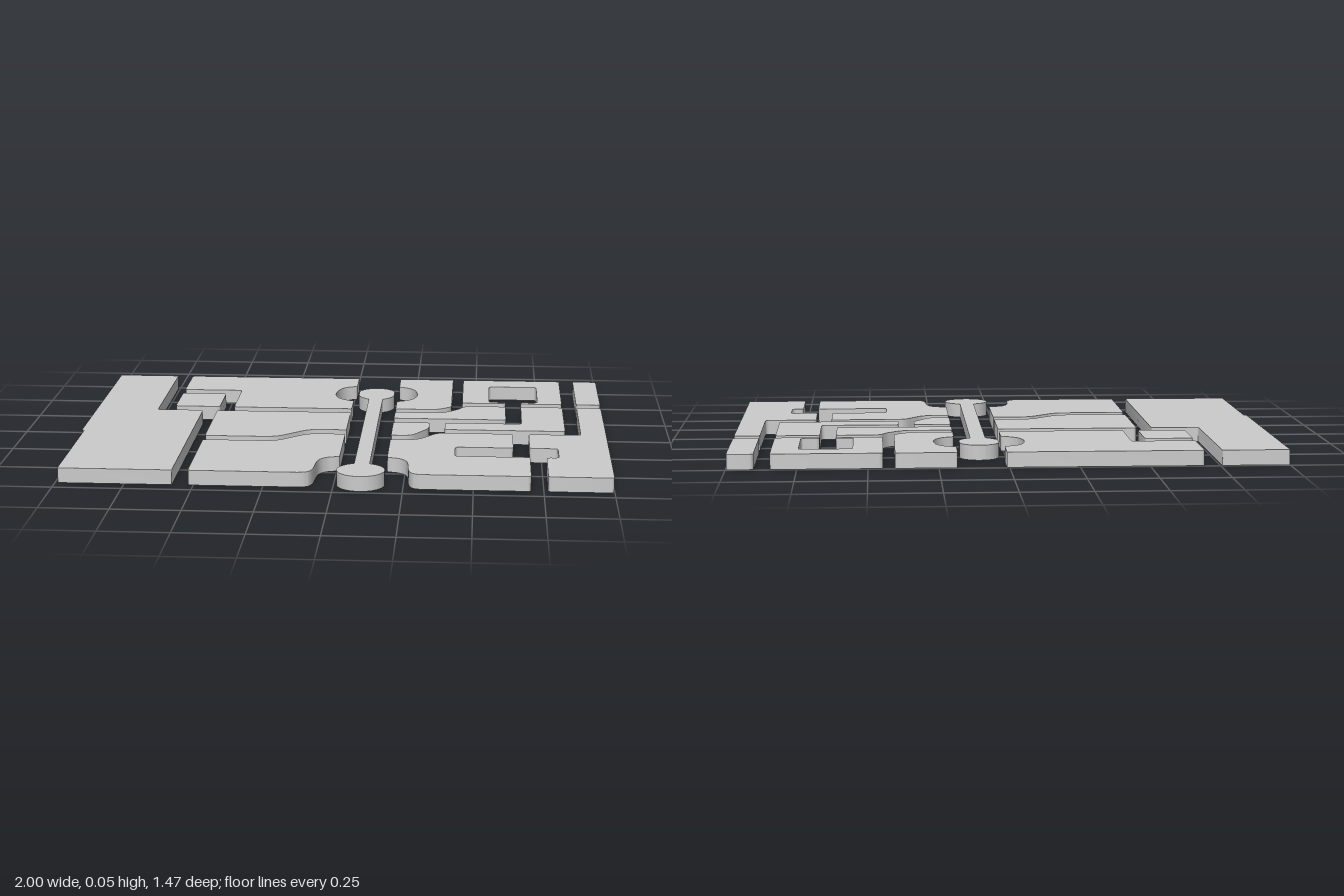
import * as THREE from 'three';
import { toCreasedNormals } from 'three/addons/utils/BufferGeometryUtils.js';

const HEIGHT = 0.055;
const CORNER = 0.015;
const AXIS = 0.097; // x of the keyhole-shaped centre bar
const material = new THREE.MeshStandardMaterial({ color: 0xcccccc });

// Closed outline from [x, z, cornerRadius] points; shape y is -z
function roundedOutline(points) {
  const shape = new THREE.Shape();
  const n = points.length;
  const vec = (p) => new THREE.Vector2(p[0], -p[1]);
  points.forEach((p, i) => {
    const c = vec(p);
    const towards = (q) => {
      const d = vec(q).sub(c);
      const r = Math.min(p[2] ?? CORNER, d.length() * 0.48);
      return d.setLength(r).add(c);
    };
    const a = towards(points[(i + n - 1) % n]);
    const b = towards(points[(i + 1) % n]);
    if (i === 0) shape.moveTo(a.x, a.y);
    else shape.lineTo(a.x, a.y);
    shape.quadraticCurveTo(c.x, c.y, b.x, b.y);
  });
  shape.closePath();
  return shape;
}

// Flat slab standing on the ground
function slab(name, shape, curveSegments = 4) {
  const geo = new THREE.ExtrudeGeometry(shape, { depth: HEIGHT, bevelEnabled: false, curveSegments });
  geo.rotateX(-Math.PI / 2);
  const mesh = new THREE.Mesh(toCreasedNormals(geo, 0.6), material);
  mesh.name = name;
  return mesh;
}

const rect = (x0, z0, x1, z1) => [[x0, z0], [x1, z0], [x1, z1], [x0, z1]];
const mirror = (points) => points.map(([x, z, r]) => [2 * AXIS - x, z, r]);

// Curved bites around the two ends of the centre bar, listed back to front
const backBite = [
  [0.01, -0.603, 0.01], [-0.035, -0.583, 0.03], [-0.06, -0.545, 0.03], [-0.069, -0.49, 0.03],
  [-0.069, -0.45, 0.03], [-0.055, -0.405, 0.03], [-0.03, -0.377, 0.03], [0.01, -0.358, 0.01],
];
const frontBite = [
  [0.01, 0.475, 0.01], [-0.035, 0.485, 0.03], [-0.062, 0.515, 0.03], [-0.07, 0.56, 0.03],
  [-0.073, 0.64, 0.03], [-0.085, 0.678, 0.03], [-0.11, 0.692, 0.03],
];

const pieces = {
  // left half
  leftStrip: [[-1, -0.74, 0.003], [-0.757, -0.74, 0.005], [-0.757, -0.17, 0.005], [-0.577, -0.17],
    [-0.577, 0.692, 0.005], [-0.99, 0.692, 0.003], [-0.99, 0.17, 0.003], [-1, 0.16, 0.003]],
  backLeftBlock: [[-0.695, -0.74], [0.01, -0.74, 0.008], ...backBite, [0.01, -0.228, 0.008],
    [-0.46, -0.228], [-0.46, -0.503], [-0.695, -0.503]],
  smallSquare: rect(-0.695, -0.445, -0.517, -0.23),
  middleLeftBlock: [[-0.52, -0.17], [0.01, -0.17, 0.008], [0.01, 0.097, 0.008], [-0.13, 0.097, 0.04],
    [-0.25, 0.213, 0.04], [-0.52, 0.213]],
  frontLeftBlock: [[0.01, 0.157, 0.008], ...frontBite, [-0.52, 0.692], [-0.52, 0.27],
    [-0.245, 0.27, 0.04], [-0.13, 0.157, 0.04]],
  // right half
  backRightBlock: [[0.405, -0.74, 0.008], [0.184, -0.74, 0.008], ...mirror(backBite), [0.184, -0.238, 0.008],
    [0.35, -0.238, 0.03], [0.405, -0.285, 0.02]],
  openRing: [[0.447, -0.74], [0.845, -0.74], [0.845, -0.35], [0.68, -0.35], [0.68, -0.373],
    [0.748, -0.373], [0.748, -0.63], [0.555, -0.63], [0.555, -0.373], [0.62, -0.373],
    [0.62, -0.35], [0.447, -0.35]],
  backRightStrip: rect(0.902, -0.74, 0.998, -0.35),
  slantedBlock: [[0.184, -0.188, 0.008], [0.37, -0.188, 0.03], [0.435, -0.25, 0.02], [0.455, -0.3, 0.04],
    [0.62, -0.3], [0.62, -0.092], [0.184, -0.092, 0.008]],
  angleBlock: [[0.68, -0.3], [0.845, -0.3], [0.845, 0.067], [0.385, 0.067], [0.385, -0.035], [0.68, -0.035]],
  smallWedge: [[0.184, -0.033], [0.325, -0.033], [0.325, 0.055, 0.03], [0.26, 0.163, 0.03],
    [0.184, 0.163, 0.008]],
  frontRightBlock: [[0.36, 0.117, 0.03], [0.285, 0.222, 0.04], [0.184, 0.222, 0.008], ...mirror(frontBite),
    [0.705, 0.692], [0.705, 0.44], [0.43, 0.44], [0.43, 0.317], [0.645, 0.317], [0.645, 0.117]],
  rightStrip: [[0.902, -0.3], [0.998, -0.3], [0.998, 0.692], [0.765, 0.692], [0.765, 0.44],
    [0.81, 0.44], [0.81, 0.317], [0.705, 0.317], [0.705, 0.117], [0.902, 0.117]],
};

// Bar with an oval head at the back and a round foot at the front
function centreBar() {
  const half = 0.028, foot = 0.087, footZ = 0.645;
  const a = Math.asin(half / foot);
  const shape = new THREE.Shape();
  shape.moveTo(AXIS - half, 0.39);
  shape.lineTo(AXIS - half, -footZ + foot * Math.cos(a));
  shape.absarc(AXIS, -footZ, foot, Math.PI / 2 + a, Math.PI * 2.5 - a, false);
  shape.lineTo(AXIS + half, 0.39);
  shape.quadraticCurveTo(AXIS + 0.072, 0.42, AXIS + 0.072, 0.47);
  shape.lineTo(AXIS + 0.072, 0.503);
  shape.absarc(AXIS, 0.503, 0.072, 0, Math.PI, false);
  shape.lineTo(AXIS - 0.072, 0.47);
  shape.quadraticCurveTo(AXIS - 0.072, 0.42, AXIS - half, 0.39);
  return slab('centreBar', shape, 16);
}

export function createModel() {
  const group = new THREE.Group();
  group.name = 'slottedPlate';
  for (const [name, points] of Object.entries(pieces)) group.add(slab(name, roundedOutline(points)));
  group.add(centreBar());
  return group;
}
